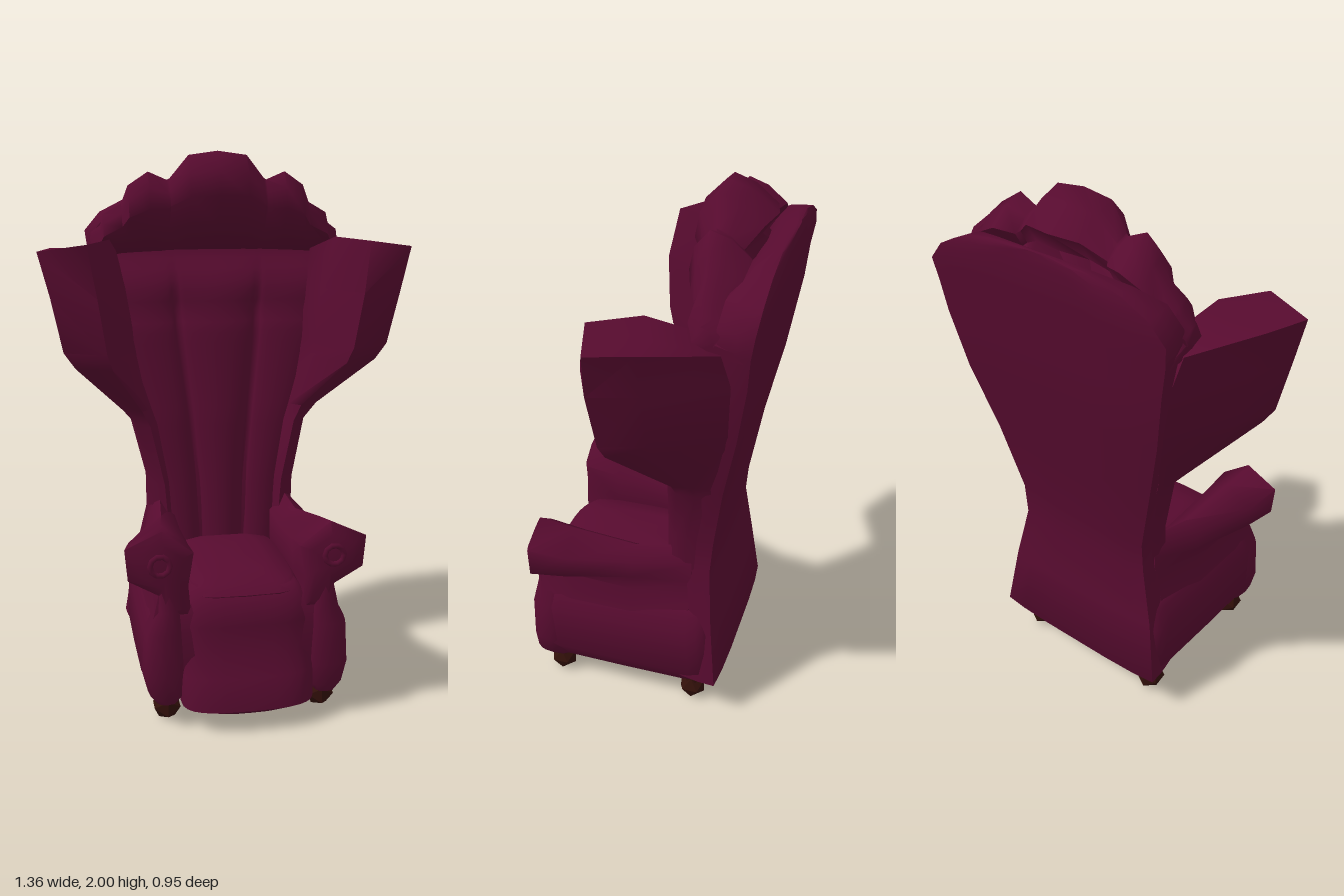
import * as THREE from 'three';
import { mergeVertices, toCreasedNormals } from 'three/addons/utils/BufferGeometryUtils.js';

const plum = new THREE.MeshStandardMaterial({ color: 0x570b2f });
plum.name = 'plum upholstery';
const wood = new THREE.MeshStandardMaterial({ color: 0x32100a });
wood.name = 'dark wood';
const lerp = THREE.MathUtils.lerp;

// Closed solid through rings of [x, y, z] points, wound outward
function loft(rings, crease = 1.0) {
  const n = rings[0].length, pos = rings.flat(2), idx = [];
  for (let r = 0; r < rings.length - 1; r++)
    for (let i = 0; i < n; i++) {
      const a = r * n + i, b = r * n + (i + 1) % n;
      idx.push(a, b, a + n, b, b + n, a + n);
    }
  [[rings[0], 0], [rings.at(-1), (rings.length - 1) * n]].forEach(([ring, start], end) => {
    const c = pos.length / 3;
    for (let k = 0; k < 3; k++) pos.push(ring.reduce((s, p) => s + p[k], 0) / n);
    for (let i = 0; i < n; i++) {
      const a = start + i, b = start + (i + 1) % n;
      idx.push(...(end ? [a, b, c] : [b, a, c]));
    }
  });
  // flip the faces when the enclosed volume is negative
  const v = i => new THREE.Vector3(pos[i * 3], pos[i * 3 + 1], pos[i * 3 + 2]);
  let volume = 0;
  for (let t = 0; t < idx.length; t += 3) volume += v(idx[t]).dot(v(idx[t + 1]).cross(v(idx[t + 2])));
  if (volume < 0) idx.reverse();
  const g = new THREE.BufferGeometry();
  g.setAttribute('position', new THREE.Float32BufferAttribute(pos, 3));
  g.setIndex(idx);
  return toCreasedNormals(mergeVertices(g), crease);
}

// Superellipse outline in two coordinates; small power = boxier
function oval(c1, r1, c2, r2, power, n) {
  return Array.from({ length: n }, (_, i) => {
    const a = (i / n) * Math.PI * 2, c = Math.cos(a), s = Math.sin(a);
    return [c1 + r1 * Math.sign(c) * Math.abs(c) ** power, c2 + r2 * Math.sign(s) * Math.abs(s) ** power];
  });
}

// Rows of [y, left x, right x, back z, front z] stacked upward
const stack = (rows, power, n = 20) => loft(rows.map(([y, x0, x1, z0, z1]) =>
  oval((x0 + x1) / 2, (x1 - x0) / 2, (z0 + z1) / 2, (z1 - z0) / 2, power, n).map(([x, z]) => [x, y, z])));

const sym = rows => rows.map(([y, w, z0, z1]) => [y, -w, w, z0, z1]);

// Linear lookup in [key, value] pairs
function lookup(table, t) {
  let i = 0;
  while (i < table.length - 2 && t > table[i + 1][0]) i++;
  const [a, b] = [table[i], table[i + 1]];
  return lerp(a[1], b[1], THREE.MathUtils.clamp((t - a[0]) / (b[0] - a[0]), 0, 1));
}

// Back shell: gently bowed rear with crisp side edges, arched top
function backGeometry() {
  const rows = [ // y, half width, back z, front z
    [0.07, 0.27, -0.29, -0.24], [0.15, 0.375, -0.355, -0.2], [0.4, 0.335, -0.325, -0.16], [0.62, 0.285, -0.302, -0.16],
    [0.75, 0.285, -0.312, -0.17], [1.02, 0.35, -0.355, -0.21], [1.28, 0.42, -0.41, -0.26], [1.5, 0.46, -0.445, -0.3],
    [1.62, 0.48, -0.455, -0.33], [1.7, 0.49, -0.468, -0.33], [1.77, 0.43, -0.475, -0.34], [1.82, 0.33, -0.477, -0.39],
    [1.855, 0.2, -0.478, -0.44], [1.87, 0.06, -0.479, -0.465]];
  return loft(rows.map(([y, w, b, f]) => {
    const half = [[1, b + 0.014], [0.75, b + 0.005], [0.4, b + 0.001]].map(([u, z]) => [u * w, y, z]);
    const front = [[0.99, lerp(b, f, 0.5)], [0.95, f], [0.4, f]].map(([u, z]) => [u * w, y, z]);
    const side = [...half.reverse(), ...front];
    return [...side, ...side.map(([x, ...r]) => [-x, ...r]).reverse()];
  }), 0.9);
}

// Channelled panel inside the back, receding under the crest
function panelGeometry() {
  const width = [[0.45, 0.2], [0.75, 0.23], [1.02, 0.29], [1.3, 0.37], [1.72, 0.44]];
  const depth = [[0.45, -0.125], [1.0, -0.165], [1.38, -0.215], [1.52, -0.245], [1.64, -0.325], [1.72, -0.33]];
  const nu = 50, nv = 32, g = new THREE.PlaneGeometry(1, 1, nu, nv), p = g.attributes.position;
  for (let i = 0; i < p.count; i++) {
    const u = p.getX(i) * 2, y = 0.45 + (p.getY(i) + 0.5) * 1.27;
    const fade = THREE.MathUtils.smoothstep(1.62 - y, 0, 0.25);
    const pad = Math.sqrt(Math.abs(Math.cos(u * Math.PI * 1.25)));
    const fold = 0.012 * Math.exp(-(((y - 1.4) / 0.03) ** 2));
    p.setXYZ(i, u * lookup(width, y), y, lookup(depth, y) + 0.045 * fade * (pad - 0.75) - fold - 0.02 * u * u);
  }
  g.computeVertexNormals();
  return g;
}

// Crest: curled overhanging lobes on a neck that slopes back to the panel
function crestGeometry() {
  const half = [ // x, top y, lip y, front z, back z
    [0, 2.0, 1.84, -0.15, -0.41], [0.11, 1.985, 1.835, -0.16, -0.385], [0.18, 1.9, 1.8, -0.205, -0.34],
    [0.19, 1.895, 1.79, -0.205, -0.355], [0.26, 1.925, 1.79, -0.185, -0.385], [0.335, 1.875, 1.76, -0.21, -0.375],
    [0.36, 1.81, 1.725, -0.23, -0.345], [0.43, 1.77, 1.69, -0.23, -0.36], [0.44, 1.73, 1.67, -0.24, -0.35],
    [0.475, 1.705, 1.65, -0.255, -0.34]];
  const rows = [...half.slice(1).reverse().map(([x, ...r]) => [-x, ...r]), ...half];
  return loft(rows.map(([x, t, l, f, b]) => {
    const h = t - l;
    return [
      [t, lerp(f, b, 0.32)], [t - 0.18 * h, lerp(f, b, 0.66)], [t - 0.6 * h, b], [l - 0.01, lerp(b, f, 0.2)],
      [lerp(l, 1.6, 0.4), -0.4], [1.6, -0.42], [1.61, -0.335], [lerp(l, 1.62, 0.5), lerp(f, -0.32, 0.55)],
      [l, f], [l + 0.56 * h, f - 0.015]].map(([y, z]) => [x, y, z]);
  }), 1.2);
}

// Wing outline at each height, running down into the slim side rim
function wingGeometry() {
  const rows = [
    [0.5, [0.28, -0.24], [0.285, -0.19], [0.27, -0.13], [0.21, -0.11], [0.19, -0.15], [0.19, -0.24]],
    [0.75, [0.28, -0.25], [0.285, -0.2], [0.28, -0.15], [0.23, -0.115], [0.21, -0.15], [0.2, -0.25]],
    [0.98, [0.335, -0.3], [0.335, -0.24], [0.33, -0.17], [0.28, -0.125], [0.25, -0.16], [0.24, -0.28]],
    [1.04, [0.355, -0.3], [0.37, -0.23], [0.38, -0.17], [0.31, -0.13], [0.27, -0.17], [0.26, -0.28]],
    [1.24, [0.405, -0.36], [0.51, -0.15], [0.56, 0.0], [0.43, 0.07], [0.34, -0.11], [0.31, -0.25]],
    [1.3, [0.42, -0.37], [0.55, -0.14], [0.6, 0.01], [0.45, 0.09], [0.35, -0.1], [0.32, -0.26]],
    [1.5, [0.455, -0.38], [0.59, -0.13], [0.64, 0.03], [0.48, 0.105], [0.37, -0.09], [0.35, -0.29]],
    [1.67, [0.48, -0.35], [0.63, -0.13], [0.68, 0.02], [0.51, 0.07], [0.42, -0.09], [0.38, -0.31]]];
  return loft(rows.map(([y, ...pts]) => pts.map(([x, z], i) =>
    [x, y > 1.6 ? [1.62, 1.66, 1.66, 1.685, 1.69, 1.63][i] : y, z])), 1.35);
}

// Rolled arm flowing down into the seat side: outline at each depth
function armGeometry() {
  const rows = [
    [0.385, [0.3, 0.69], [0.38, 0.655], [0.375, 0.58], [0.3, 0.53], [0.29, 0.45], [0.23, 0.45], [0.24, 0.56], [0.23, 0.64]],
    [0.365, [0.3, 0.735], [0.43, 0.675], [0.42, 0.56], [0.315, 0.5], [0.335, 0.41], [0.2, 0.41], [0.21, 0.53], [0.19, 0.65]],
    [0.23, [0.29, 0.71], [0.405, 0.65], [0.395, 0.56], [0.32, 0.51], [0.345, 0.41], [0.2, 0.41], [0.2, 0.5], [0.19, 0.63]],
    [0, [0.26, 0.665], [0.32, 0.625], [0.325, 0.56], [0.32, 0.5], [0.345, 0.41], [0.2, 0.41], [0.195, 0.5], [0.19, 0.61]],
    [-0.22, [0.24, 0.7], [0.285, 0.64], [0.29, 0.56], [0.31, 0.48], [0.335, 0.4], [0.2, 0.4], [0.19, 0.5], [0.19, 0.62]]];
  return loft(rows.map(([z, ...pts]) => pts.map(([x, y]) => [x, y, z])), 1.2);
}

export function createModel() {
  const model = new THREE.Group();
  const add = (name, geometry, material = plum) => {
    const mesh = new THREE.Mesh(geometry, material);
    mesh.name = name;
    model.add(mesh);
    return mesh;
  };
  // Left part and its mirror image on the right
  const pair = (name, geometry) => {
    add(name + 'Left', geometry);
    const g = geometry.index ? geometry.toNonIndexed() : geometry.clone();
    for (const a of [g.attributes.position, g.attributes.normal])
      for (let i = 0; i < a.count; i += 3) {
        const c = [0, 2, 1].map(k => [-a.getX(i + k), a.getY(i + k), a.getZ(i + k)]);
        c.forEach((q, k) => a.setXYZ(i + k, ...q));
      }
    add(name + 'Right', g);
  };

  // Tall waisted back, wings and crest
  add('backShell', backGeometry());
  add('channelledPanel', panelGeometry());
  add('crest', crestGeometry());
  pair('wing', wingGeometry());

  // Seat box, bulging apron and cushion
  add('base', stack(sym([
    [0.105, 0.33, -0.3, 0.37], [0.18, 0.375, -0.34, 0.385], [0.36, 0.37, -0.32, 0.385], [0.43, 0.335, -0.31, 0.375],
    [0.46, 0.315, -0.3, 0.36]]), 0.22, 28));
  add('apron', stack(sym([
    [0.065, 0.14, 0.3, 0.45], [0.085, 0.24, 0.22, 0.475], [0.2, 0.245, 0.2, 0.455], [0.27, 0.24, 0.2, 0.405],
    [0.38, 0.24, 0.2, 0.412], [0.46, 0.225, 0.2, 0.39], [0.5, 0.19, 0.2, 0.35]]), 0.65, 28));
  add('seatCushion', stack(sym([
    [0.42, 0.21, -0.2, 0.36], [0.48, 0.215, -0.2, 0.375], [0.51, 0.19, -0.18, 0.34], [0.53, 0.11, -0.12, 0.25]]), 0.45, 24));

  // Arms with scrolled fronts and shaped posts
  pair('arm', armGeometry());
  pair('armPost', stack([
    [0.09, 0.25, 0.33, 0.27, 0.39], [0.12, 0.225, 0.355, 0.25, 0.402], [0.2, 0.215, 0.375, 0.25, 0.405],
    [0.36, 0.225, 0.365, 0.25, 0.405], [0.44, 0.235, 0.325, 0.25, 0.392], [0.54, 0.24, 0.32, 0.25, 0.38]], 0.7, 12));
  pair('armScroll', new THREE.TorusGeometry(0.035, 0.012, 6, 10).translate(0.31, 0.615, 0.382));

  // Faceted ball feet
  for (const x of [-0.285, 0.285])
    for (const z of [0.305, -0.235]) {
      const foot = add('foot', new THREE.IcosahedronGeometry(0.055, 0), wood);
      foot.position.set(x, 0.05, z);
      const stem = add('footStem', new THREE.CylinderGeometry(0.03, 0.035, 0.06, 6), wood);
      stem.position.set(x, 0.1, z);
    }
  return model;
}
